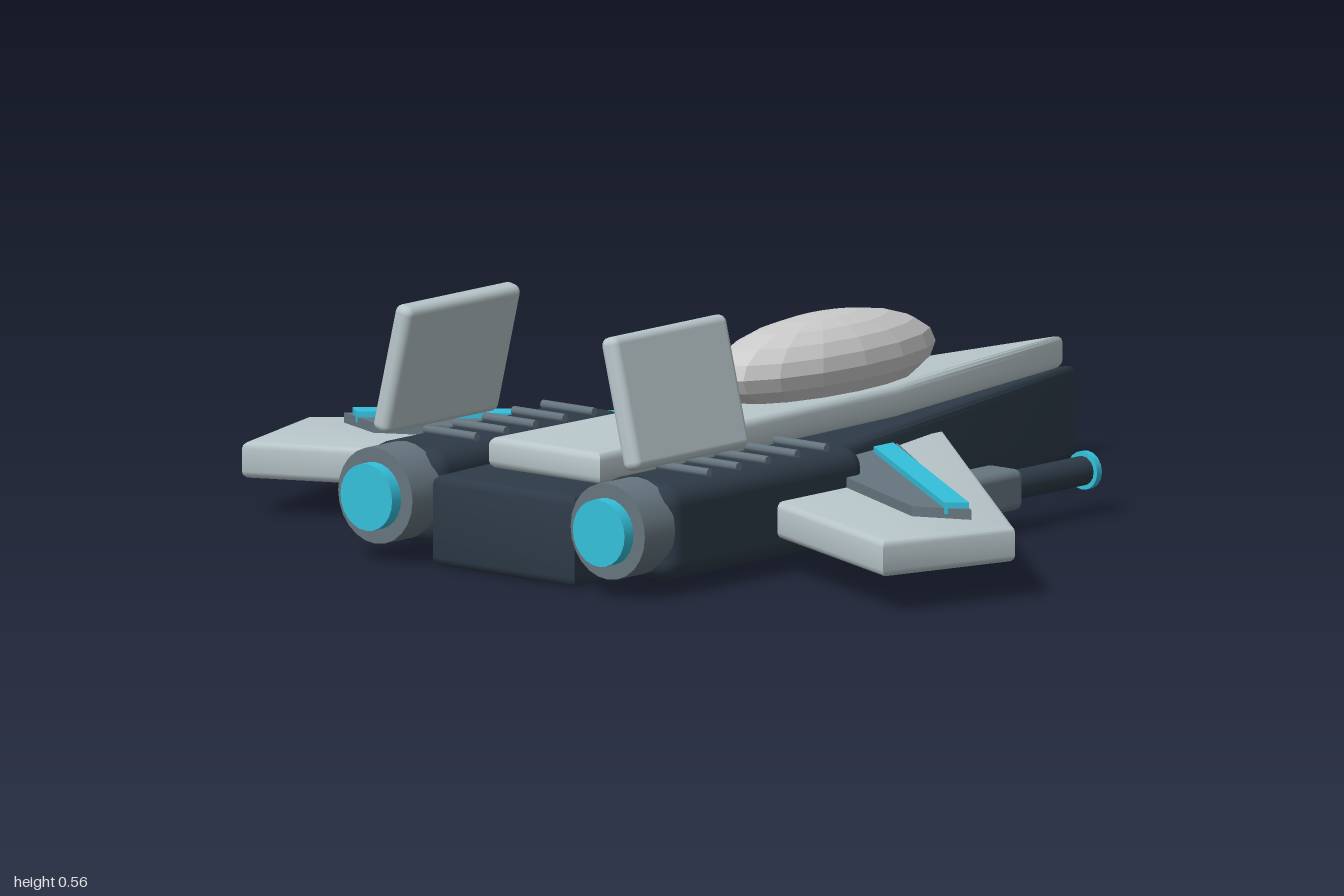
import * as THREE from 'three';
import { RoundedBoxGeometry } from 'three/addons/geometries/RoundedBoxGeometry.js';
import { toCreasedNormals } from 'three/addons/utils/BufferGeometryUtils.js';

const mat = (color, flatShading = false) => {
  const m = new THREE.MeshStandardMaterial({ color });
  m.flatShading = flatShading;
  return m;
};
const DARK = mat(0x2d3a47), LIGHT = mat(0xb8c6ca), MID = mat(0x66757f);
const CYAN = mat(0x35c0dc), GLASS = mat(0xcccccc, true);

function add(parent, name, geometry, material, x = 0, y = 0, z = 0) {
  const mesh = new THREE.Mesh(geometry, material);
  mesh.name = name;
  mesh.position.set(x, y, z);
  parent.add(mesh);
  return mesh;
}

// Bevelled slab from an outline of [x, z] points, between two heights
function slab(points, y0, y1, bevel) {
  const shape = new THREE.Shape(points.map(([x, z]) => new THREE.Vector2(x, z)));
  const g = new THREE.ExtrudeGeometry(shape, {
    depth: y1 - y0 - 2 * bevel, bevelEnabled: bevel > 0, bevelThickness: bevel,
    bevelSize: bevel, bevelOffset: -bevel, bevelSegments: 3,
  });
  g.rotateX(Math.PI / 2).translate(0, y1 - bevel, 0);
  return toCreasedNormals(g, 0.6);
}

const rodZ = (r, length, sides = 24) =>
  new THREE.CylinderGeometry(r, r, length, sides).rotateX(Math.PI / 2);

export function createModel() {
  const model = new THREE.Group();
  model.name = 'starfighter';

  // Fuselage
  add(model, 'hull', slab(
    [[0, -0.98], [0.25, 0.06], [0.2, 0.91], [-0.2, 0.91], [-0.25, 0.06]], 0, 0.2, 0.02), DARK);
  add(model, 'upperDeck', slab(
    [[0, -0.94], [0.125, -0.25], [0.157, 0.775], [-0.157, 0.775], [-0.125, -0.25]], 0.2, 0.27, 0.018), LIGHT);
  add(model, 'canopy', new THREE.SphereGeometry(1, 16, 10).scale(0.125, 0.1, 0.345), GLASS, 0, 0.33, -0.145);

  for (const s of [-1, 1]) {
    const side = new THREE.Group();
    side.name = s > 0 ? 'leftSide' : 'rightSide';
    model.add(side);
    const mirror = (pts) => pts.map(([x, z]) => [s * x, z]);

    // Wing with raised panel and light strip
    add(side, 'wing', slab(mirror(
      [[0.15, -0.37], [1, 0.39], [0.905, 0.715], [0.15, 0.39]]), 0.08, 0.16, 0.015), LIGHT);
    add(side, 'wingPanel', slab(mirror(
      [[0.255, -0.095], [0.885, 0.4], [0.76, 0.45], [0.29, 0.21]]), 0.15, 0.182, 0), MID);
    add(side, 'wingStrip', slab(mirror(
      [[0.285, -0.045], [0.87, 0.39], [0.83, 0.425], [0.285, 0.02]]), 0.17, 0.195, 0), CYAN);

    // Engine nacelle, nozzle and cooling ribs
    const engine = new THREE.Group();
    engine.name = 'engine';
    engine.position.set(s * 0.328, 0.145, 0);
    side.add(engine);
    add(engine, 'nacelle', new RoundedBoxGeometry(0.21, 0.21, 0.66, 3, 0.045), DARK, 0, -0.01, 0.54);
    add(engine, 'nozzleRing', rodZ(0.105, 0.1), MID, 0, 0, 0.9);
    add(engine, 'exhaust', rodZ(0.073, 0.05), CYAN, 0, 0, 0.955);
    for (let i = 0; i < 5; i++) {
      const rib = new THREE.CylinderGeometry(0.01, 0.01, 0.145, 8).rotateZ(Math.PI / 2);
      add(engine, 'coolingRib', rib, MID, 0, 0.101, 0.31 + i * 0.097);
    }

    // Tail fin leaning inward
    const fin = add(side, 'tailFin', new RoundedBoxGeometry(0.046, 0.292, 0.38, 3, 0.018), LIGHT,
      s * 0.322, 0.415, 0.72);
    fin.rotation.z = s * 0.24;

    // Underwing cannon
    const cannon = new THREE.Group();
    cannon.name = 'cannon';
    cannon.position.set(s * 0.453, 0.093, 0);
    side.add(cannon);
    add(cannon, 'cannonHousing', new RoundedBoxGeometry(0.1, 0.09, 0.36, 3, 0.018), MID, 0, 0, -0.045);
    add(cannon, 'barrel', rodZ(0.032, 0.28, 16), DARK, 0, 0, -0.34);
    add(cannon, 'muzzle', rodZ(0.042, 0.016, 16), CYAN, 0, 0, -0.482);
  }
  return model;
}
